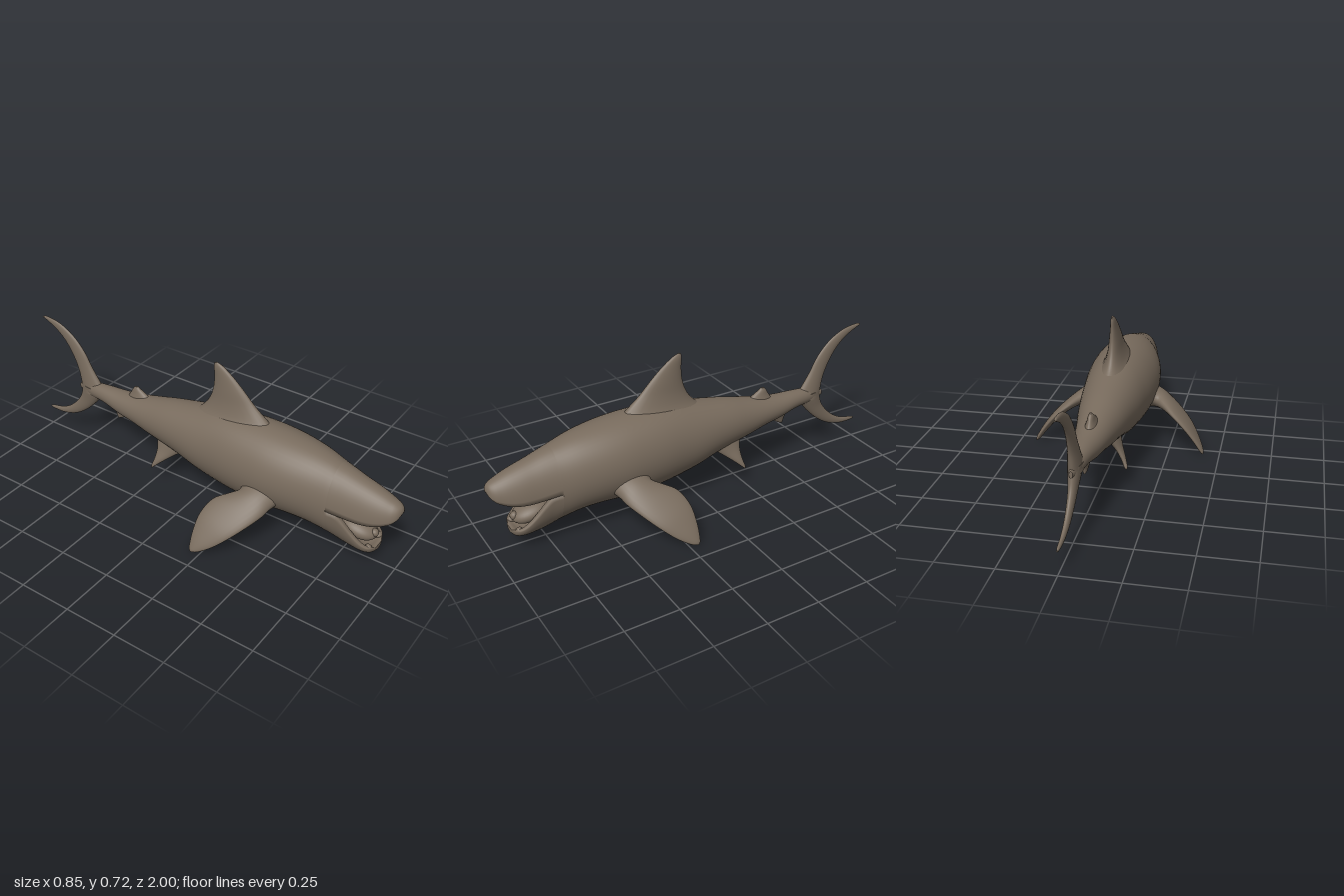
import * as THREE from 'three';

const skin = new THREE.MeshStandardMaterial({ color: 0x786b5d });
skin.name = 'greyBrownSkin';

// Smoothly resample rows of numbers; the first column is the key
function resample(rows, steps) {
  const keys = rows.map(r => r[0]);
  const spline = new THREE.CubicInterpolant(keys, rows.flatMap(r => r.slice(1)), rows[0].length - 1);
  const out = [];
  for (let k = 0; k < rows.length - 1; k++) {
    for (let s = 0; s < steps; s++) {
      const t = keys[k] + (keys[k + 1] - keys[k]) * s / steps;
      out.push([t, ...spline.evaluate(t)]);
    }
  }
  out.push(rows[rows.length - 1]);
  return out;
}

// Skin closed rings of points, with a separate cap at each end
function loft(rings) {
  const pos = [], index = [], n = rings[0].length;
  const add = p => pos.push(p.x, p.y, p.z);
  rings.forEach(r => r.forEach(add));
  for (let k = 0; k < rings.length - 1; k++) {
    for (let i = 0; i < n; i++) {
      const a = k * n + i, b = k * n + (i + 1) % n;
      index.push(a, b, b + n, a, b + n, a + n);
    }
  }
  [rings[0], rings[rings.length - 1]].forEach((ring, end) => {
    const base = pos.length / 3;
    const centre = new THREE.Vector3();
    ring.forEach(p => { add(p); centre.addScaledVector(p, 1 / n); });
    add(centre);
    for (let i = 0; i < n; i++) {
      const a = base + i, b = base + (i + 1) % n;
      if (end) index.push(base + n, a, b); else index.push(base + n, b, a);
    }
  });
  const g = new THREE.BufferGeometry();
  g.setAttribute('position', new THREE.Float32BufferAttribute(pos, 3));
  g.setIndex(index);
  g.computeVertexNormals();
  return g;
}

// Elliptical cross-section: z, top, bottom, half width
function bodyRing([z, top, bottom, w]) {
  return Array.from({ length: 48 }, (_, i) => {
    const a = i / 48 * Math.PI * 2;
    return new THREE.Vector3(w * Math.cos(a), (top + bottom) / 2 + (top - bottom) / 2 * Math.sin(a), z);
  });
}

// Half-shell cross-section: z, outer edge y, rim y, half width, depth of the hollow
function shellRing([z, outer, rim, w, hollow]) {
  const upper = outer > rim, ring = [];
  const arc = (rx, height, from, to) => {
    for (let i = 0; i <= 24; i++) {
      const a = from + (to - from) * i / 24;
      ring.push(new THREE.Vector3(rx * Math.cos(a), rim + height * Math.abs(Math.sin(a)), z));
    }
  };
  const start = upper ? 0 : Math.PI;
  arc(w, outer - rim, start, start + Math.PI);
  arc(w * 0.8, upper ? hollow : -hollow, start + Math.PI, start);
  return ring;
}

// Fin rows: leading edge x y z, trailing edge x y z, half thickness, from root to tip
function fin(rows, side = 1) {
  const secs = resample(rows.map((r, i) => [i, ...r]), 5).map(r => ({
    lead: new THREE.Vector3(r[1] * side, r[2], r[3]),
    trail: new THREE.Vector3(r[4] * side, r[5], r[6]),
    t: r[7],
  }));
  secs.forEach(s => { s.mid = s.lead.clone().lerp(s.trail, 0.5); });
  return loft(secs.map((s, k) => {
    const span = secs[Math.min(k + 1, secs.length - 1)].mid.clone().sub(secs[Math.max(k - 1, 0)].mid);
    const half = s.trail.clone().sub(s.lead).multiplyScalar(0.5);
    const normal = span.cross(half).normalize();
    return Array.from({ length: 24 }, (_, i) => {
      const a = i / 24 * Math.PI * 2;
      return s.mid.clone().addScaledVector(half, Math.cos(a)).addScaledVector(normal, s.t * Math.sin(a));
    });
  }));
}

// Upright fin on the centre line: lead z y, trail z y, half thickness
const uprightFin = rows => fin(rows.map(([lz, ly, tz, ty, t]) => [0, ly, lz, 0, ty, tz, t]));

export function createModel() {
  const group = new THREE.Group();
  const part = (name, geometry) => {
    const m = new THREE.Mesh(geometry, skin);
    m.name = name;
    group.add(m);
    return m;
  };

  part('body', loft(resample([
    [-0.77, 0.335, 0.305, 0.008], [-0.7, 0.36, 0.288, 0.03], [-0.6, 0.37, 0.28, 0.045],
    [-0.5, 0.375, 0.256, 0.06], [-0.4, 0.388, 0.24, 0.075], [-0.3, 0.41, 0.217, 0.091],
    [-0.2, 0.434, 0.2, 0.109], [-0.1, 0.454, 0.178, 0.125], [0, 0.474, 0.147, 0.14],
    [0.1, 0.493, 0.126, 0.151], [0.2, 0.502, 0.114, 0.163], [0.3, 0.504, 0.108, 0.17],
    [0.4, 0.5, 0.109, 0.172], [0.5, 0.49, 0.114, 0.163], [0.6, 0.473, 0.108, 0.145],
    [0.7, 0.445, 0.085, 0.122],
  ], 4).map(bodyRing)));

  part('snout', loft(resample([
    [0.7, 0.445, 0.265, 0.122, 0.08], [0.74, 0.434, 0.258, 0.114, 0.08], [0.8, 0.415, 0.25, 0.104, 0.07],
    [0.86, 0.398, 0.248, 0.095, 0.05], [0.91, 0.382, 0.254, 0.083, 0.025], [0.95, 0.366, 0.267, 0.068, 0.006],
    [0.98, 0.352, 0.284, 0.05, 0], [0.995, 0.338, 0.302, 0.028, 0], [1, 0.326, 0.316, 0.01, 0],
  ], 4).map(shellRing)));

  part('lowerJaw', loft(resample([
    [0.7, 0.085, 0.265, 0.122, 0.13], [0.74, 0.07, 0.258, 0.113, 0.13], [0.77, 0.063, 0.23, 0.107, 0.11],
    [0.81, 0.06, 0.185, 0.1, 0.08], [0.85, 0.06, 0.145, 0.092, 0.05], [0.88, 0.063, 0.122, 0.079, 0.025],
    [0.9, 0.069, 0.112, 0.06, 0.008], [0.912, 0.08, 0.103, 0.03, 0],
  ], 4).map(shellRing)));

  // Mouth interior
  const tongue = part('tongue', new THREE.SphereGeometry(1, 32, 20));
  tongue.scale.set(0.066, 0.042, 0.09);
  tongue.position.set(0, 0.16, 0.81);
  tongue.rotation.x = 0.25;
  const tongueTip = part('tongueTip', new THREE.SphereGeometry(0.02, 20, 14));
  tongueTip.position.set(0, 0.155, 0.885);
  for (const s of [-1, 1]) {
    part('lowerGumBump', new THREE.SphereGeometry(0.017, 20, 14)).position.set(s * 0.05, 0.105, 0.885);
  }
  for (let i = 0; i < 11; i++) {
    const a = (i / 10 - 0.5) * Math.PI;
    const tooth = part('upperTooth', new THREE.ConeGeometry(0.009, 0.03, 8));
    tooth.rotation.x = Math.PI;
    tooth.position.set(0.074 * Math.sin(a), 0.252, 0.83 + 0.09 * Math.cos(a));
  }

  part('dorsalFin', uprightFin([
    [0.37, 0.47, -0.07, 0.44, 0.075], [0.32, 0.515, -0.015, 0.485, 0.05], [0.26, 0.565, 0.02, 0.535, 0.034],
    [0.205, 0.62, 0.04, 0.595, 0.025], [0.15, 0.67, 0.045, 0.655, 0.017], [0.095, 0.71, 0.042, 0.7, 0.011],
    [0.06, 0.726, 0.045, 0.722, 0.004],
  ]));
  part('secondDorsalFin', uprightFin([
    [-0.31, 0.38, -0.47, 0.36, 0.03], [-0.355, 0.408, -0.445, 0.395, 0.018],
    [-0.385, 0.425, -0.43, 0.42, 0.012], [-0.4, 0.437, -0.418, 0.435, 0.005],
  ]));
  part('analFin', uprightFin([
    [-0.42, 0.27, -0.58, 0.29, 0.025], [-0.475, 0.24, -0.55, 0.25, 0.015],
    [-0.505, 0.222, -0.54, 0.225, 0.01], [-0.525, 0.212, -0.537, 0.212, 0.004],
  ]));
  part('upperTailLobe', uprightFin([
    [-0.6, 0.31, -0.755, 0.3, 0.032], [-0.645, 0.372, -0.762, 0.345, 0.026], [-0.69, 0.44, -0.775, 0.41, 0.02],
    [-0.735, 0.52, -0.805, 0.48, 0.016], [-0.8, 0.588, -0.85, 0.547, 0.013], [-0.885, 0.634, -0.905, 0.595, 0.01],
    [-0.965, 0.647, -0.968, 0.628, 0.007], [-0.99, 0.642, -0.99, 0.635, 0.003],
  ]));
  part('lowerTailLobe', uprightFin([
    [-0.6, 0.34, -0.755, 0.34, 0.032], [-0.65, 0.282, -0.762, 0.3, 0.026], [-0.69, 0.235, -0.778, 0.255, 0.02],
    [-0.75, 0.178, -0.812, 0.208, 0.016], [-0.82, 0.132, -0.86, 0.165, 0.013], [-0.9, 0.106, -0.915, 0.136, 0.01],
    [-0.975, 0.103, -0.978, 0.122, 0.007], [-1, 0.108, -1, 0.115, 0.003],
  ]));

  // Paired fins
  for (const [side, name] of [[1, 'left'], [-1, 'right']]) {
    part(name + 'PectoralFin', fin([
      [0.1, 0.225, 0.49, 0.1, 0.245, 0.26, 0.065], [0.165, 0.205, 0.465, 0.165, 0.235, 0.3, 0.05],
      [0.225, 0.18, 0.448, 0.205, 0.225, 0.27, 0.037], [0.29, 0.145, 0.41, 0.255, 0.202, 0.215, 0.026],
      [0.345, 0.1, 0.36, 0.318, 0.15, 0.188, 0.02], [0.387, 0.05, 0.3, 0.372, 0.085, 0.187, 0.015],
      [0.412, 0.016, 0.245, 0.41, 0.026, 0.195, 0.01], [0.419, 0.006, 0.217, 0.419, 0.007, 0.203, 0.004],
    ], side));
    part(name + 'PelvicFin', fin([
      [0.05, 0.235, -0.07, 0.05, 0.245, -0.25, 0.03], [0.075, 0.185, -0.135, 0.08, 0.195, -0.23, 0.018],
      [0.1, 0.145, -0.185, 0.105, 0.15, -0.23, 0.012], [0.118, 0.112, -0.222, 0.12, 0.115, -0.238, 0.008],
      [0.123, 0.103, -0.232, 0.123, 0.103, -0.238, 0.003],
    ], side));
  }
  return group;
}
